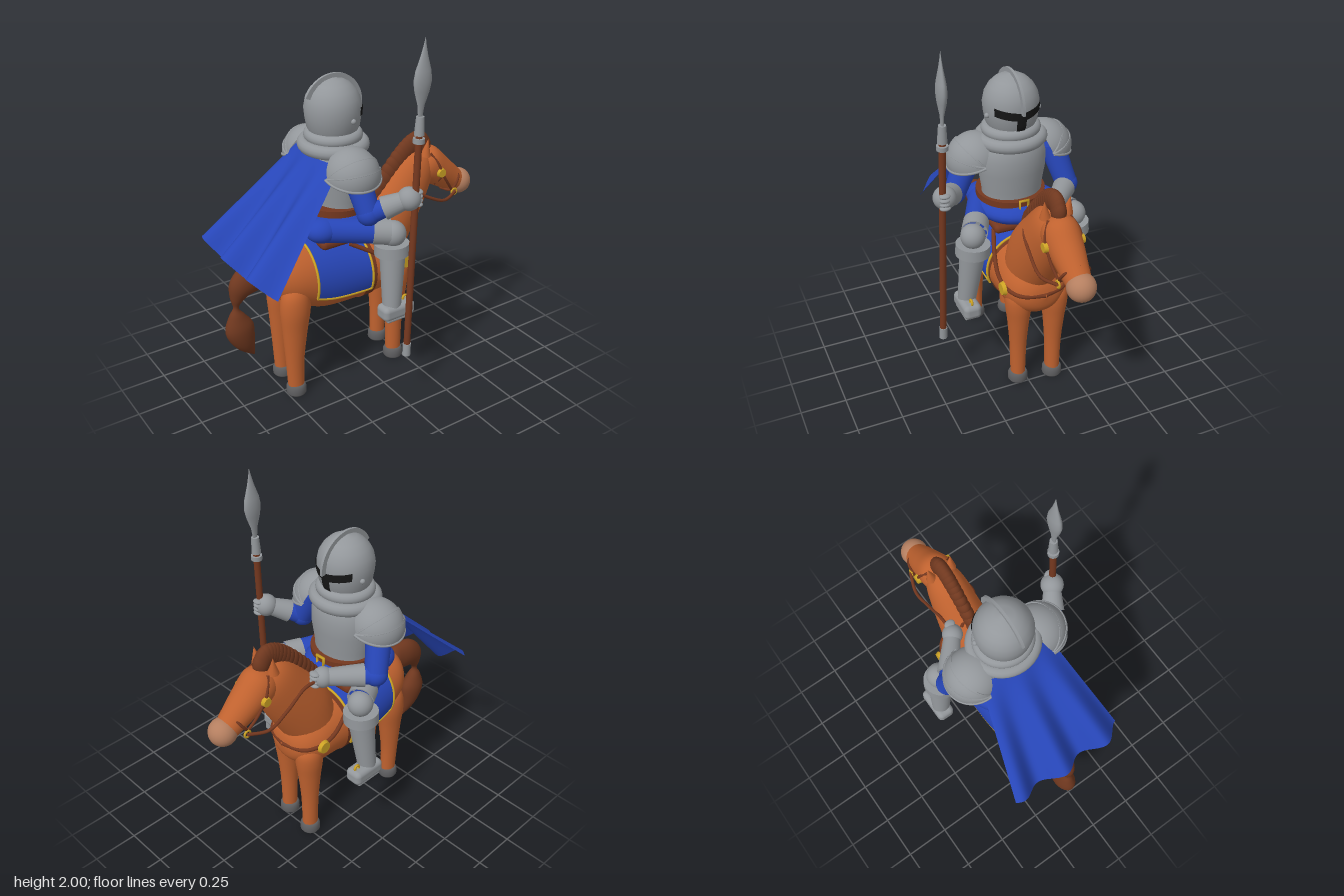
import * as THREE from 'three';
import { RoundedBoxGeometry } from 'three/addons/geometries/RoundedBoxGeometry.js';

const V = (x, y, z = 0) => new THREE.Vector3(x, y, z);
const mat = (name, color) => Object.assign(new THREE.MeshStandardMaterial({ color, side: THREE.DoubleSide }), { name });

// Rows of numbers refined along a Catmull-Rom curve; the last two columns are radii
function smooth(rows, steps = 5) {
  const out = [], last = rows.length - 1;
  for (let i = 0; i < last; i++) {
    const [a, b, c, d] = [rows[Math.max(i - 1, 0)], rows[i], rows[i + 1], rows[Math.min(i + 2, last)]];
    for (let s = 0; s < steps; s++) {
      const t = s / steps;
      out.push(b.map((v, k) => {
        const m = (c[k] - a[k]) / 2, n = (d[k] - v) / 2, e = c[k] - v;
        const r = v + m * t + (3 * e - 2 * m - n) * t * t + (m + n - 2 * e) * t * t * t;
        return k > 2 ? Math.max(r, .002) : r;
      }));
    }
  }
  return [...out, rows[last]];
}

// Closed skin over elliptical sections [x, y, angle in degrees, half height, half width]
function loft(sections, sides = 28) {
  const pos = [], idx = [];
  sections.forEach(([x, y, deg, a, b], i) => {
    const t = deg * Math.PI / 180;
    for (let j = 0; j < sides; j++) {
      const q = j / sides * Math.PI * 2, n = a * Math.cos(q);
      pos.push(x - Math.sin(t) * n, y + Math.cos(t) * n, b * Math.sin(q));
      if (i === sections.length - 1) continue;
      const k = (j + 1) % sides, A = i * sides, B = A + sides;
      idx.push(A + j, A + k, B + j, A + k, B + k, B + j);
    }
  });
  const g = new THREE.BufferGeometry();
  g.setAttribute('position', new THREE.Float32BufferAttribute(pos, 3));
  g.setIndex(idx);
  g.computeVertexNormals();
  return g;
}

// Grid whose points come from f(u, v)
function sheet(nu, nv, f) {
  const g = new THREE.PlaneGeometry(1, 1, nu, nv), p = g.attributes.position;
  for (let i = 0; i < p.count; i++) p.setXYZ(i, ...f(p.getX(i) + 0.5, 0.5 - p.getY(i)).toArray());
  g.computeVertexNormals();
  return g;
}

// Linear lookup in rows sorted by their first value
function lookup(rows, x) {
  let i = 0;
  while (i < rows.length - 2 && x > rows[i + 1][0]) i++;
  const t = (x - rows[i][0]) / (rows[i + 1][0] - rows[i][0]);
  return rows[i].map((v, k) => v + (rows[i + 1][k] - v) * t);
}

const BODY = smooth([[-.545, .715, 0, .004, .004], [-.54, .715, 0, .055, .05], [-.525, .715, 0, .092, .085], [-.48, .708, 0, .15, .135],
  [-.4, .69, 0, .176, .168], [-.25, .655, 0, .2, .183], [-.05, .635, 0, .19, .185], [.1, .635, 0, .18, .185], [.2, .63, 0, .165, .18],
  [.28, .63, 0, .13, .145], [.325, .625, 0, .075, .085], [.34, .625, 0, .004, .004]]);
const HELM = [[1.44, .12], [1.48, .138], [1.53, .146], [1.58, .15], [1.63, .14], [1.67, .118], [1.7, .088], [1.72, .052], [1.73, .001]];

const onBody = (x, q, off) => {
  const [, y, , a, b] = lookup(BODY, x);
  return V(x, y + (a + off) * Math.cos(q), (b + off) * Math.sin(q));
};

export function createModel() {
  const M = {
    coat: mat('chestnut coat', 0xc0622f), hair: mat('mane brown', 0x70381f), leather: mat('leather', 0x75381f),
    muzzle: mat('muzzle tan', 0xb57f60), hoof: mat('hoof grey', 0x5e5e60), steel: mat('steel', 0x93979b),
    cloth: mat('blue cloth', 0x2746b8), gold: mat('gold', 0xcda325), black: mat('visor black', 0x161616),
  };
  const model = new THREE.Group(), horse = new THREE.Group(), knight = new THREE.Group();
  horse.name = 'horse'; knight.name = 'knight';
  horse.position.z = knight.position.z = -0.052;
  model.add(horse, knight);

  const add = (parent, name, geo, m, p = V(0, 0), s = V(1, 1, 1)) => {
    const mesh = new THREE.Mesh(geo, m);
    mesh.name = name; mesh.position.copy(p); mesh.scale.copy(s);
    parent.add(mesh);
    return mesh;
  };
  const ball = (parent, name, m, p, rx, ry = rx, rz = rx) =>
    add(parent, name, new THREE.SphereGeometry(1, 28, 18), m, p, V(rx, ry, rz));
  const rod = (parent, name, m, p, q, r1, r2 = r1) => {
    const d = q.clone().sub(p);
    const mesh = add(parent, name, new THREE.CylinderGeometry(r2, r1, d.length(), 24), m, p.clone().lerp(q, .5));
    mesh.quaternion.setFromUnitVectors(V(0, 1), d.normalize());
  };
  const tube = (parent, name, m, pts, r) =>
    add(parent, name, new THREE.TubeGeometry(new THREE.CatmullRomCurve3(pts), 40, r, 8), m);
  const lathe = rows => new THREE.LatheGeometry(rows.map(([y, r]) => new THREE.Vector2(r, y)), 36);

  // Horse body, neck, head, mane and tail
  add(horse, 'body', loft(BODY, 36), M.coat);
  add(horse, 'neck', loft(smooth([[.12, .66, 58, .15, .14], [.2, .83, 58, .172, .14], [.32, 1, 57, .152, .122],
    [.41, 1.13, 55, .12, .1], [.45, 1.19, 50, .06, .06], [.46, 1.2, 50, .003, .003]])), M.coat);
  add(horse, 'head', loft(smooth([[.41, 1.17, -37, .003, .003], [.42, 1.165, -37, .06, .06], [.47, 1.13, -37, .106, .095],
    [.56, 1.065, -37, .092, .09], [.65, .998, -37, .076, .074], [.72, .95, -37, .062, .062]])), M.coat);
  ball(horse, 'muzzle', M.muzzle, V(.725, .955), .075);
  const mane = new THREE.CatmullRomCurve3([V(.11, .96), V(.2, 1.075), V(.3, 1.185), V(.38, 1.25), V(.435, 1.262), V(.46, 1.23)]);
  for (let i = 0; i <= 18; i++) {
    const tuft = ball(horse, 'maneTuft', M.hair, mane.getPoint(i / 18), .064, .048, .038);
    tuft.rotation.z = 2.3 - i * .047;
  }
  add(horse, 'tail', loft(smooth([[-.515, .765, 180, .003, .003], [-.525, .765, 180, .06, .04], [-.57, .756, 185, .082, .052],
    [-.64, .744, 203, .088, .058], [-.705, .7, 228, .068, .05], [-.73, .64, 248, .036, .03], [-.735, .59, 262, .015, .015],
    [-.732, .54, 270, .045, .036], [-.722, .46, 283, .08, .055], [-.69, .36, 295, .055, .042], [-.645, .27, 300, .003, .003]])), M.hair);

  // Legs and hooves
  for (const s of [1, -1]) {
    const leg = (name, x, rows) => {
      add(horse, name, loft(smooth(rows)), M.coat, V(x - s * .014, 0, s * .1));
      add(horse, 'hoof', lathe([[0, .001], [0, .05], [.01, .056], [.045, .055], [.062, .044], [.066, .001]]), M.hoof, V(x - s * .014, 0, s * .1));
    };
    leg('frontLeg', .22, [[0, .05, 90, .045, .041], [0, .25, 90, .05, .047], [.002, .42, 90, .066, .06],
      [.004, .53, 90, .078, .073], [.006, .6, 90, .072, .068], [.006, .65, 90, .035, .035], [.006, .66, 90, .003, .003]]);
    leg('hindLeg', -.435, [[0, .05, 90, .046, .041], [-.002, .22, 90, .053, .047], [.004, .4, 90, .071, .06],
      [.01, .53, 90, .085, .074], [.012, .62, 90, .074, .066], [.012, .67, 90, .035, .035], [.012, .68, 90, .003, .003]]);

    // Ears, bridle and reins
    const ear = add(horse, 'ear', new THREE.ConeGeometry(.03, .1, 16), M.coat, V(.44, 1.245, s * .065));
    ear.rotation.set(s * .1, 0, -.1);
    tube(horse, 'browStrap', M.leather, [V(.47, 1.2, s * .06), V(.51, 1.13, s * .095), V(.53, 1.06, s * .092), V(.52, 1, s * .04)], .008);
    tube(horse, 'cheekStrap', M.leather, [V(.525, 1.09, s * .094), V(.57, 1.02, s * .09), V(.625, .945, s * .072)], .008);
    tube(horse, 'noseStrap', M.leather, [V(.69, 1.055, 0), V(.67, 1.01, s * .07), V(.625, .945, s * .066), V(.605, .935, 0)], .008);
    const disc = (name, x, y, z, r) => {
      const b = add(horse, name, new THREE.CylinderGeometry(r * .85, r, .02, 24), M.gold, V(x, y, s * z));
      b.rotation.x = s * Math.PI / 2;
    };
    disc('cheekRoundel', .522, 1.085, .102, .028);
    disc('breastRoundel', .215, .66, .194, .039);
    add(horse, 'bitRing', new THREE.TorusGeometry(.018, .006, 8, 20), M.gold, V(.635, .935, s * .08));
    tube(horse, 'rein', M.leather, [V(.64, .935, s * .085), V(.53, .925, s * .125), V(.41, .975, s * .125),
      V(.28, 1.05, s < 0 ? -.12 : .1), V(.17, 1.05, s < 0 ? -.12 : -.06)], .009);
    tube(horse, 'breastStrap', M.leather, [V(-.1, .83, s * .115), V(.04, .75, s * .166), V(.13, .69, s * .183),
      V(.215, .66, s * .175), V(.3, .645, s * .123), V(.34, .642, 0)], .012);
  }

  // Saddle, girth and trimmed blanket
  const x0 = -.34, x1 = 0, q0 = 1.98;
  const cover = (u, v) => onBody(x0 + (x1 - x0) * u, (v * 2 - 1) * q0, .01);
  add(horse, 'blanket', sheet(10, 40, cover), M.cloth);
  for (const e of [0, 1]) {
    tube(horse, 'blanketEndTrim', M.gold, Array.from({ length: 21 }, (_, i) => cover(e, i / 20)), .007);
    tube(horse, 'blanketSideTrim', M.gold, Array.from({ length: 9 }, (_, i) => cover(i / 8, e)), .007);
  }
  add(horse, 'girth', sheet(3, 48, (u, v) => onBody(-.03 + u * .06, v * Math.PI * 2, .006)), M.leather);
  add(horse, 'saddle', new RoundedBoxGeometry(.25, .055, .26, 4, .025), M.leather, V(-.15, .862));

  // Hips, belt and torso
  ball(knight, 'hips', M.cloth, V(-.12, .98), .22, .085, .205);
  add(knight, 'belt', new THREE.CylinderGeometry(.184, .184, .036, 40), M.leather, V(-.132, 1.05), V(1, 1, 1.03)).rotation.z = -.03;
  const buckle = add(knight, 'buckle', new THREE.TorusGeometry(.034, .009, 6, 4), M.gold, V(.055, 1.045));
  buckle.rotation.set(0, Math.PI / 2, Math.PI / 4, 'YXZ');
  add(knight, 'breastplate', lathe([[1.03, .88], [1.1, .9], [1.2, .99], [1.28, 1], [1.35, .92], [1.4, .7], [1.42, .01]]),
    M.steel, V(-.115, 0), V(.15, 1, .188));
  for (const [y, R, r] of [[1.38, .16, .036], [1.43, .128, .032]]) {
    const ring = add(knight, 'gorgetRing', new THREE.TorusGeometry(R, r, 14, 40), M.steel, V(-.125, y), V(.95, 1, 1));
    ring.rotation.x = Math.PI / 2;
  }
  rod(knight, 'neckGuard', M.steel, V(-.125, 1.36), V(-.125, 1.46), .13);

  // Helmet with visor slit and crest
  const HX = -.125;
  add(knight, 'helmet', lathe(HELM), M.steel, V(HX, 0));
  const onHelm = (q, y) => {
    const r = lookup(HELM, y)[1] + .004;
    return V(HX + r * Math.cos(q), y, r * Math.sin(q));
  };
  add(knight, 'eyeSlit', sheet(28, 6, (u, v) => {
    const q = (u * 2 - 1) * .98;
    return onHelm(q, 1.542 + .024 * Math.abs(q) + (v - .5) * .046);
  }), M.black);
  add(knight, 'noseSlit', sheet(8, 8, (u, v) => onHelm((u - .5) * .36, 1.455 + v * .085)), M.black);
  const arc = new THREE.Shape();
  arc.absarc(0, 0, .176, -.1, 2.72, false);
  arc.absarc(0, 0, .135, 2.72, -.1, true);
  add(knight, 'crest', new THREE.ExtrudeGeometry(arc, { depth: .014, bevelEnabled: false, curveSegments: 32 }), M.steel, V(HX, 1.575, -.007));

  for (const s of [1, -1]) {
    ball(knight, 'visorRivet', M.steel, V(-.095, 1.53, s * .145), .014);
    // Overlapping shoulder plates, wider towards the arm, each with a rolled rim
    for (const [i, from, len] of [[0, .85, 1.1], [1, .3, .65], [2, -.3, .7]]) {
      const r = .14 + i * .006;
      const plate = (u, v) => {
        const t = u * Math.PI, q = from + v * len;
        return V(-.145 - r * Math.cos(t), 1.28 + r * Math.sin(t) * Math.sin(q), s * (.195 + r * 1.05 * Math.sin(t) * Math.cos(q)));
      };
      add(knight, 'shoulderPlate', sheet(24, 10, plate), M.steel);
      tube(knight, 'shoulderPlateRim', M.steel, Array.from({ length: 13 }, (_, k) => plate(k / 12, 0)), .007);
    }
    // Thigh with its guard, knee, shin and boot
    const hip = V(-.27, .965, s * .12), knee = V(.04, .935, s * .28);
    ball(knight, 'hip', M.cloth, hip, .095, .068, .08);
    rod(knight, 'thigh', M.cloth, hip, knee, .068, .066);
    rod(knight, 'thighGuard', M.steel, hip.clone().lerp(knee, .74), knee, .07, .072);
    ball(knight, 'knee', M.steel, V(.055, .925, s * .295), .068, .07, .067);
    rod(knight, 'kneeCuff', M.steel, V(.046, .81, s * .296), V(.046, .872, s * .292), .094);
    rod(knight, 'shin', M.steel, V(.025, .5, s * .33), V(.05, .84, s * .295), .05, .072);
    add(knight, 'boot', new RoundedBoxGeometry(.2, .085, .1, 4, .028), M.steel, V(.05, .488, s * .335));
    add(knight, 'sole', new RoundedBoxGeometry(.16, .02, .085, 2, .008), M.steel, V(.05, .447, s * .335));
    add(knight, 'bootBuckle', new THREE.TorusGeometry(.015, .007, 8, 16), M.gold, V(.11, .537, s * .335));
  }

  // Arms: the left holds the lance, the right holds the reins
  for (const [sh, el, ha, cuff, r] of [[V(-.14, 1.28, .24), V(-.125, 1.1, .325), V(.042, 1.185, .438), .38, .062],
    [V(-.13, 1.28, -.24), V(-.05, 1.06, -.3), V(.16, 1.06, -.125), .22, .056]]) {
    const mid = el.clone().lerp(ha, cuff);
    rod(knight, 'upperArm', M.cloth, sh, el, .07, .06);
    ball(knight, 'elbow', M.cloth, el, .062);
    rod(knight, 'forearm', M.cloth, el, mid, .056, .048);
    rod(knight, 'gauntletCuff', M.steel, mid, ha, .062, .044);
    ball(knight, 'hand', M.steel, ha, r);
    for (let i = 0; i < 4; i++)
      ball(knight, 'finger', M.steel, ha.clone().add(V(.044, .034 - i * .023, .014)), .024, .013, .03);
  }

  // Lance
  const low = V(.022, .28, .474), high = V(.105, 2, .444);
  const at = y => low.clone().lerp(high, (y - .28) / 1.72);
  rod(knight, 'lanceShaft', M.leather, at(.3), at(1.54), .018);
  rod(knight, 'lanceFoot', M.steel, at(.28), at(.35), .022);
  rod(knight, 'lanceCollar', M.steel, at(1.48), at(1.505), .03);
  rod(knight, 'lanceSocket', M.steel, at(1.52), at(1.615), .026, .02);
  const blade = add(knight, 'lanceBlade', lathe([[0, .013], [.06, .02], [.13, .043], [.18, .052], [.23, .045],
    [.3, .022], [.35, .009], [.39, .001]]), M.steel, at(1.61), V(1, 1, .5));
  blade.rotation.z = -.048;

  // Cape with folds that stand off its slope and deepen towards the hem
  add(knight, 'cape', sheet(64, 24, (u, v) => {
    const w = u * 2 - 1, f = v * .034 * Math.cos((w + .14) * 8.2);
    return V(-.265 - .475 * v - f + .05 * w * w * (1 - v) + .03 * v * w ** 4, 1.34 - .51 * v + 1.2 * f, w * (.205 + .15 * v));
  }), M.cloth);

  return model;
}
